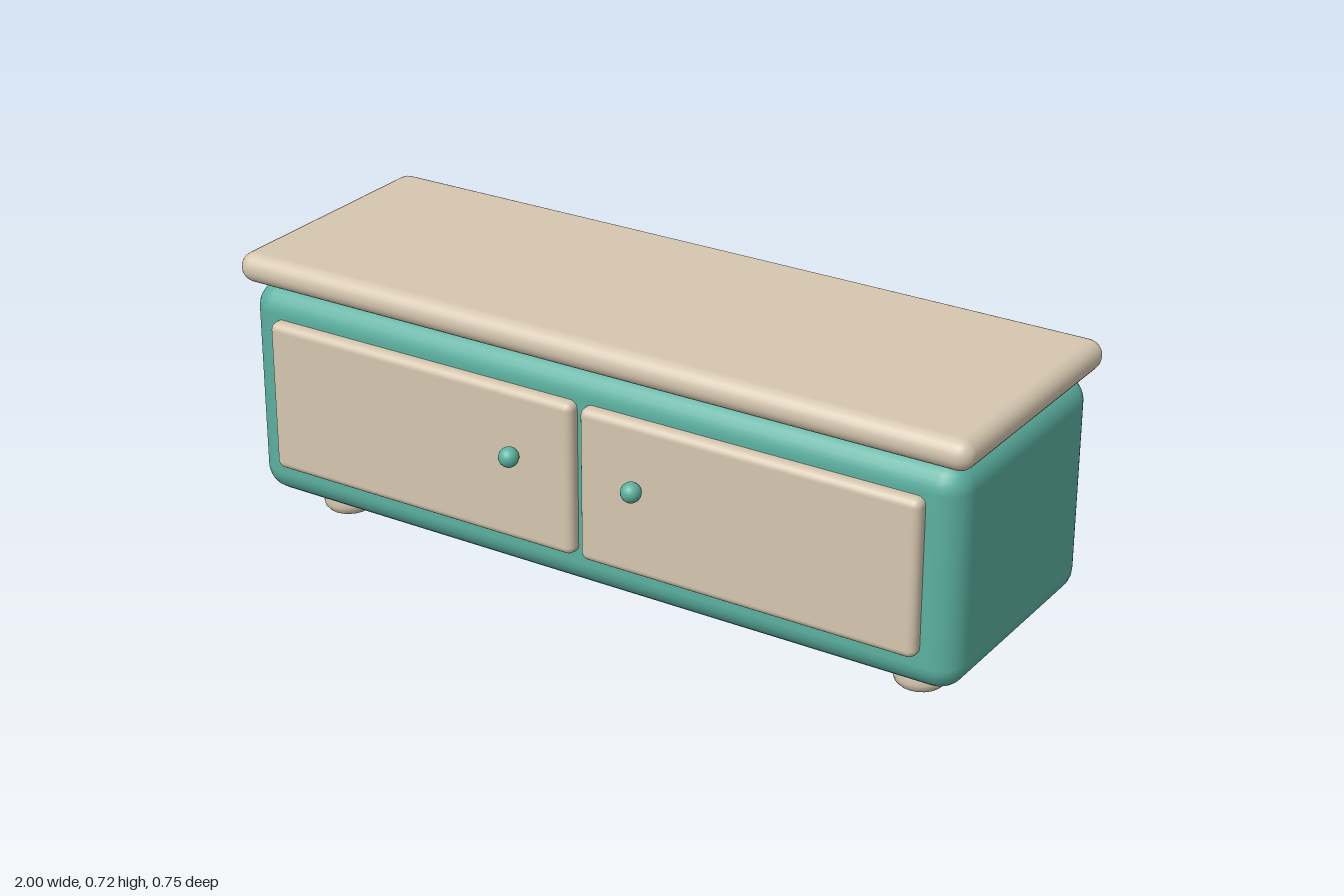
import * as THREE from 'three';

// Rounded box with evenly curved edges and a slight dome on its upper/lower faces
function softBox(w, h, d, r, domeTop = 0, domeBottom = 0) {
  const geo = new THREE.BoxGeometry(2, 2, 2, 20, 20, 20);
  const pos = geo.attributes.position, nor = geo.attributes.normal;
  const half = new THREE.Vector3(w / 2, h / 2, d / 2);
  const core = half.clone().subScalar(r);
  const p = new THREE.Vector3(), inner = new THREE.Vector3(), dir = new THREE.Vector3();
  // outer 30% of each side's grid goes to the rounded rim
  const spread = (u, c) => {
    const a = Math.abs(u);
    return Math.sign(u) * (a < 0.7 ? (a / 0.7) * c : c + r * Math.tan(((a - 0.7) / 0.3) * Math.PI / 4));
  };
  for (let i = 0; i < pos.count; i++) {
    p.set(spread(pos.getX(i), core.x), spread(pos.getY(i), core.y), spread(pos.getZ(i), core.z));
    inner.copy(p).clamp(core.clone().negate(), core);
    dir.copy(p).sub(inner).normalize();
    p.copy(inner).addScaledVector(dir, r);
    const bow = (1 - (p.x / half.x) ** 2) * (1 - (p.z / half.z) ** 2);
    p.y += bow * (p.y > 0 ? domeTop : -domeBottom) * Math.abs(p.y) / half.y;
    pos.setXYZ(i, p.x, p.y, p.z);
    nor.setXYZ(i, dir.x, dir.y, dir.z);
  }
  return geo;
}

export function createModel() {
  const group = new THREE.Group();
  const teal = new THREE.MeshStandardMaterial({ color: 0x5bb0a0 });
  teal.name = 'teal paint';
  const beige = new THREE.MeshStandardMaterial({ color: 0xd5c6af });
  beige.name = 'beige wood';

  const add = (name, geo, mat, x, y, z) => {
    const mesh = new THREE.Mesh(geo, mat);
    mesh.name = name;
    mesh.position.set(x, y, z);
    group.add(mesh);
    return mesh;
  };

  // Cabinet body and overhanging top
  add('body', softBox(1.96, 0.56, 0.65, 0.066, 0.004, 0.004), teal, 0, 0.353, -0.028);
  add('top', softBox(2, 0.076, 0.685, 0.037, 0.01, 0), beige, 0, 0.673, -0.029);

  // Foot profile with a rounded lower rim
  const foot = new THREE.LatheGeometry([
    [0, 0], [0.042, 0], [0.054, 0.004], [0.062, 0.013], [0.065, 0.025], [0.065, 0.09], [0, 0.09],
  ].map(([x, y]) => new THREE.Vector2(x, y)), 20);
  const door = softBox(0.885, 0.392, 0.06, 0.02);
  const knob = new THREE.SphereGeometry(0.025, 20, 14);

  for (const [side, s] of [['left', 1], ['right', -1]]) {
    add(side + 'Door', door, beige, s * 0.453, 0.362, 0.298);
    add(side + 'Knob', knob, teal, s * 0.17, 0.395, 0.349);
    add(side + 'FrontFoot', foot, beige, s * 0.82, 0, 0.138);
    add(side + 'BackFoot', foot, beige, s * 0.82, 0, -0.192);
  }
  return group;
}
